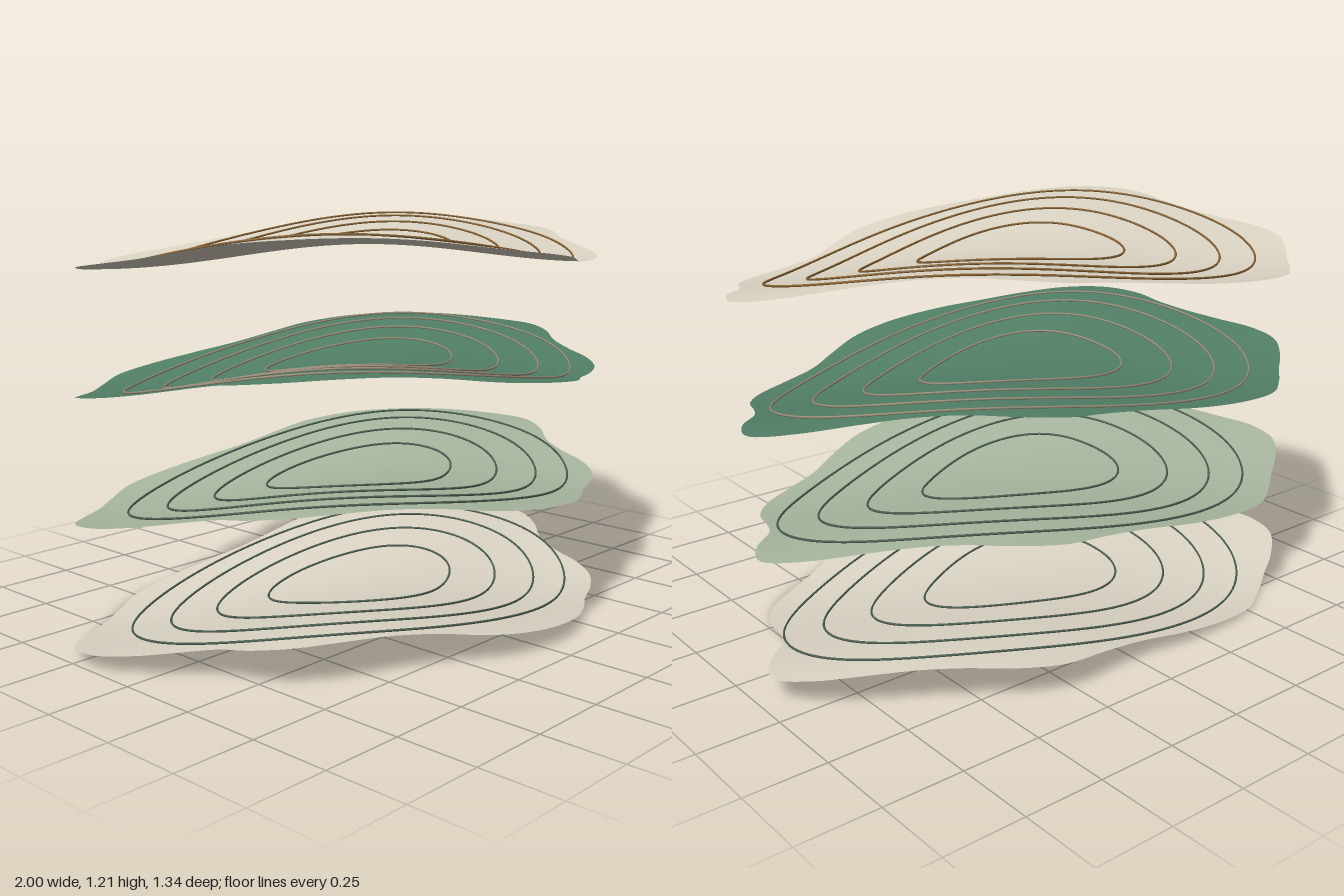
import * as THREE from 'three';

const CX = -0.02, CZ = -0.035, SQUASH = 0.68; // centre and depth ratio of every sheet
const LAYERS = 4, SPACING = 0.36, BASE = 0.0655;

// outline radius every 10 degrees, starting at -180
const RADII = [
  0.86, 0.922, 0.962, 0.957, 0.955, 0.985, 1.02, 0.995, 0.942,
  0.884, 0.872, 0.895, 0.87, 0.838, 0.85, 0.905, 0.982, 1.037,
  0.985, 0.907, 0.892, 0.907, 0.902, 0.872, 0.854, 0.90, 0.97,
  1.004, 0.993, 0.946, 0.942, 0.963, 0.965, 0.918, 0.845, 0.83,
];

function material(name, color, side = THREE.FrontSide) {
  const m = new THREE.MeshStandardMaterial({ color, side });
  m.name = name;
  return m;
}

// gentle saddle wave shared by all sheets
function wave(x, z) {
  return -0.0625 * Math.sin(2.6 * (x - CX)) * Math.sin(3.55 * (z + 0.03));
}

// closed outline in unit space; lower sheets drift by a three-lobed offset
function outline(drift) {
  const points = RADII.map((radius, i) => {
    const a = THREE.MathUtils.degToRad(i * 10 - 180);
    const r = radius + drift * 0.068 * Math.cos(3 * (a - 1.187));
    return new THREE.Vector3(r * Math.cos(a), 0, r * Math.sin(a));
  });
  return new THREE.CatmullRomCurve3(points, true, 'catmullrom', 0.5);
}

// sheet made of concentric loops scaled down from the outline
function sheetGeometry(drift) {
  const curve = outline(drift), seg = 180, loops = 40;
  const pos = [], index = [];
  for (let j = 0; j <= loops; j++) {
    for (let i = 0; i <= seg; i++) {
      const p = curve.getPoint((i % seg) / seg).multiplyScalar(j / loops);
      const x = CX + p.x, z = CZ + p.z * SQUASH;
      pos.push(x, wave(x, z), z);
    }
  }
  for (let j = 0; j < loops; j++) {
    for (let i = 0; i < seg; i++) {
      const a = j * (seg + 1) + i, b = a + seg + 1;
      if (j > 0) index.push(a, a + 1, b);
      index.push(a + 1, b + 1, b);
    }
  }
  const g = new THREE.BufferGeometry();
  g.setAttribute('position', new THREE.Float32BufferAttribute(pos, 3));
  g.setIndex(index);
  g.computeVertexNormals();
  return g;
}

// thin egg-shaped contour line lying on the sheet
function contourGeometry(radius) {
  const points = [];
  for (let i = 0; i < 72; i++) {
    const a = (i / 72) * Math.PI * 2;
    const r = radius + 0.0205 * Math.cos(3 * a + 0.5);
    const x = CX + r * Math.cos(a), z = CZ + r * SQUASH * Math.sin(a);
    points.push(new THREE.Vector3(x, wave(x, z) + 0.004, z));
  }
  return new THREE.TubeGeometry(new THREE.CatmullRomCurve3(points, true), 160, 0.0034, 6, true);
}

export function createModel() {
  const model = new THREE.Group();
  model.name = 'layeredContourSheets';

  const beige = material('beige', 0xddd6c6, THREE.DoubleSide);
  const sage = material('sage', 0xa9b8a0, THREE.DoubleSide);
  const green = material('green', 0x528067, THREE.DoubleSide);
  const darkLine = material('darkGreenLine', 0x4c6052);
  const taupeLine = material('taupeLine', 0x9c8f7a);
  const brownLine = material('brownLine', 0x8a6534);

  const sheets = [beige, sage, green, beige]; // bottom to top
  const lines = [darkLine, darkLine, taupeLine, brownLine];
  const contours = [0.345, 0.53, 0.69, 0.82].map(contourGeometry);

  for (let i = 0; i < LAYERS; i++) {
    const layer = new THREE.Group();
    layer.name = `layer${i + 1}`;
    layer.position.y = BASE + i * SPACING;

    const sheet = new THREE.Mesh(sheetGeometry(1 - i / (LAYERS - 1)), sheets[i]);
    sheet.name = 'sheet';
    layer.add(sheet);

    contours.forEach((geometry, k) => {
      const line = new THREE.Mesh(geometry, lines[i]);
      line.name = `contourLine${k + 1}`;
      layer.add(line);
    });
    model.add(layer);
  }
  return model;
}
